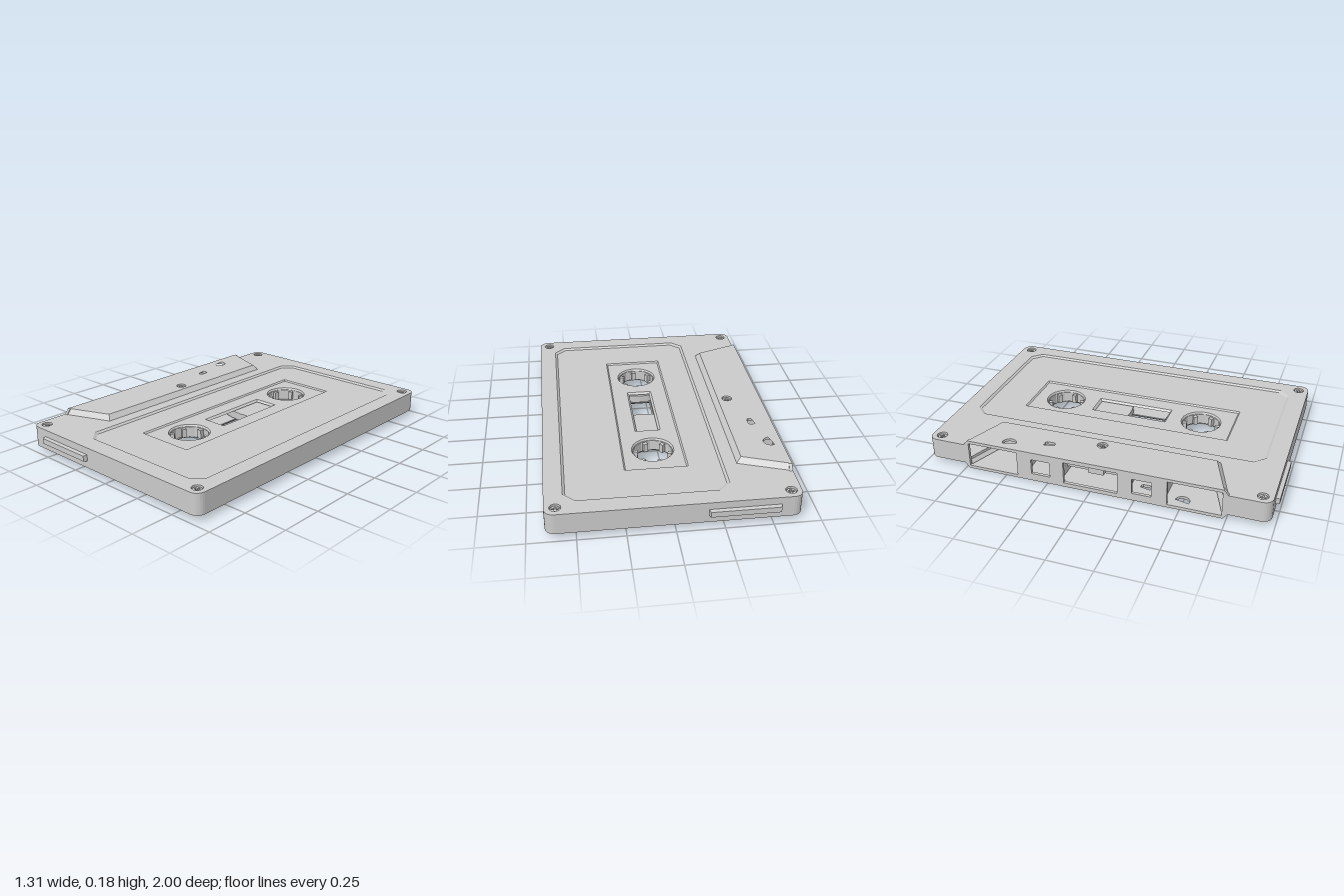
import * as THREE from 'three';

const mat = new THREE.MeshStandardMaterial({ color: 0xcccccc, flatShading: true });
const thin = new THREE.MeshStandardMaterial({ color: 0xcccccc, flatShading: true, side: THREE.DoubleSide });

// Plan-view loops of [x, z] points
const circle = (cx, cz, r, n = 24, a0 = 0) => Array.from({ length: n }, (_, i) => {
  const a = a0 + (i / n) * Math.PI * 2;
  return [cx + r * Math.cos(a), cz + r * Math.sin(a)];
});
const rect = (x0, x1, z, c = 0) => c
  ? [[x0 + c, -z], [x1 - c, -z], [x1, -z + c], [x1, z - c], [x1 - c, z], [x0 + c, z], [x0, z - c], [x0, -z + c]]
  : [[x0, -z], [x1, -z], [x1, z], [x0, z]];
const moved = (loop, dx, dz) => loop.map(([x, z]) => [x + dx, z + dz]);

// Four rounded corners, from back right round to front right
function roundedCorners(hx, hz, r) {
  const pts = [];
  [[-1, -1, 180], [1, -1, 270], [1, 1, 0], [-1, 1, 90]].forEach(([sx, sz, start]) => {
    for (let i = 0; i <= 6; i++) {
      const a = THREE.MathUtils.degToRad(start + i * 15);
      pts.push([sx * (hx - r) + r * Math.cos(a), sz * (hz - r) + r * Math.sin(a)]);
    }
  });
  return pts;
}

const toShape = (loop, holes = []) => {
  const s = new THREE.Shape(loop.map(p => new THREE.Vector2(...p)));
  s.holes = holes.map(h => new THREE.Path(h.map(p => new THREE.Vector2(...p))));
  return s;
};

function add(parent, name, geo, material = mat) {
  const m = new THREE.Mesh(geo, material);
  m.name = name;
  parent.add(m);
  return m;
}

// Flat plate between two heights
function slab(loop, holes, y0, y1) {
  const g = new THREE.ExtrudeGeometry(toShape(loop, holes), { depth: y1 - y0, bevelEnabled: false });
  return g.rotateX(Math.PI / 2).translate(0, y1, 0);
}

// Sloped band joining two loops with equal point counts
function band(a, ya, b, yb, closed = true) {
  const pos = [];
  for (let i = 0; i < a.length - (closed ? 0 : 1); i++) {
    const j = (i + 1) % a.length;
    const A = [a[i][0], ya, a[i][1]], B = [a[j][0], ya, a[j][1]];
    const C = [b[j][0], yb, b[j][1]], D = [b[i][0], yb, b[i][1]];
    pos.push(...A, ...B, ...C, ...A, ...C, ...D);
  }
  const g = new THREE.BufferGeometry();
  g.setAttribute('position', new THREE.Float32BufferAttribute(pos, 3));
  g.computeVertexNormals();
  return g;
}

// Recessed screw with a cross slot
function screw(parent, x, z, top) {
  const a = 0.005, b = 0.017;
  const cross = [[-a, -b], [a, -b], [a, -a], [b, -a], [b, a], [a, a], [a, b], [-a, b], [-a, a], [-b, a], [-b, -a], [-a, -a]];
  const g = new THREE.Group();
  g.name = 'screw';
  add(g, 'screwHead', slab(circle(0, 0, 0.025, 16), [cross], top - 0.022, top - 0.008));
  add(g, 'screwShank', slab(circle(0, 0, 0.03, 16), [], top - 0.045, top - 0.02));
  g.position.set(x, 0, z);
  parent.add(g);
}

const H = 0.059, BUMP = 0.089, HUB_X = 0.05, HUB_Z = 0.43;

// One half of the shell, measured up from the middle plane
function shellHalf(name) {
  const g = new THREE.Group();
  g.name = name;
  const outer = roundedCorners(0.655, 0.978, 0.05);
  const inner = roundedCorners(0.63, 0.953, 0.025);

  // Side wall, left open along the tape edge
  add(g, 'sideWall', slab([[-0.655, -0.755], ...outer, [-0.655, 0.755], [-0.63, 0.755],
    ...inner.reverse(), [-0.63, -0.755]], [], 0, H - 0.001));

  // Outer face with a cut-out for the raised head section
  const corners = [[-0.6, -0.92], [0.597, -0.92], [0.597, 0.92], [-0.6, 0.92]];
  const label = rect(-0.303, 0.558, 0.875, 0.06), labelIn = rect(-0.29, 0.545, 0.862, 0.055);
  add(g, 'outerFace', slab([[-0.655, -0.755], ...outer, [-0.655, 0.755], [-0.375, 0.65], [-0.375, -0.65]],
    [label, ...corners.map(([x, z]) => circle(x, z, 0.03, 16))], 0.043, H));
  corners.forEach(([x, z]) => screw(g, x, z, H));

  // Recessed label area, centre panel, window and hub openings
  const panel = rect(-0.118, 0.226, 0.626), panelIn = rect(-0.11, 0.218, 0.618);
  const windowOut = rect(-0.02, 0.127, 0.23), windowIn = rect(-0.008, 0.115, 0.218);
  add(g, 'labelBevel', band(label, H, labelIn, 0.049), thin);
  add(g, 'labelArea', slab(label, [panel], 0.033, 0.049));
  add(g, 'panelBevel', band(panel, 0.049, panelIn, 0.041), thin);
  const hubHoles = [-1, 1].map(s => circle(HUB_X, s * HUB_Z, 0.118));
  add(g, 'centrePanel', slab(panel, [windowOut, ...hubHoles], 0.031, 0.041));
  add(g, 'windowBevel', band(windowOut, 0.041, windowIn, 0.029), thin);
  [-1, 1].forEach((s, i) =>
    add(g, 'hubOpeningBevel', band(hubHoles[i], 0.041, circle(HUB_X, s * HUB_Z, 0.112), 0.03), thin));

  // Raised head section with guide holes
  const base = [[-0.655, -0.755], [-0.375, -0.65], [-0.375, 0.65], [-0.655, 0.755]];
  const top = [[-0.655, -0.73], [-0.4, -0.632], [-0.4, 0.632], [-0.655, 0.73]];
  const holes = [circle(-0.455, 0, 0.03, 16)];
  for (const s of [-1, 1]) {
    holes.push(circle(-0.595, s * 0.5, 0.04));
    holes.push(moved(rect(-0.03, 0.03, 0.03, 0.009), -0.548, s * 0.28));
  }
  add(g, 'headSlope', band(base, H, top, BUMP, false), thin);
  add(g, 'headSkirt', band(base, 0.043, base, H, false), thin);
  add(g, 'headPlate', slab(top, holes, BUMP - 0.016, BUMP));
  screw(g, -0.455, 0, BUMP);
  return g;
}

// Toothed hub with its roll of tape
function reel(z, rollRadius, turn) {
  const g = new THREE.Group();
  g.name = 'reel';
  add(g, 'hubRing', slab(circle(0, 0, 0.135), [circle(0, 0, 0.11, 12)], -0.03, 0.03));
  add(g, 'tapeRoll', slab(circle(0, 0, rollRadius, 56), [circle(0, 0, 0.13)], -0.022, 0.022));
  for (let i = 0; i < 6; i++) {
    const a = turn + i * Math.PI / 3;
    const tooth = add(g, 'hubTooth', new THREE.BoxGeometry(0.028, 0.05, 0.024));
    tooth.position.set(0.098 * Math.cos(a), 0, 0.098 * Math.sin(a));
    tooth.rotation.y = -a;
  }
  g.position.set(HUB_X, 0, z);
  return g;
}

export function createModel() {
  const model = new THREE.Group();
  model.name = 'cassette';
  const body = new THREE.Group();
  body.name = 'body';
  body.position.y = BUMP;
  model.add(body);

  // Two matching shell halves
  body.add(shellHalf('upperShell'));
  const lower = shellHalf('lowerShell');
  lower.rotation.x = Math.PI;
  body.add(lower);

  // Tape edge wall with five openings, drawn in z and y
  const opening = (z0, z1, y) => [[z0, -y], [z1, -y], [z1, y], [z0, y]];
  const edge = [[-0.755, -H], [-0.73, -BUMP], [0.73, -BUMP], [0.755, -H], [0.755, H], [0.73, BUMP], [-0.73, BUMP], [-0.755, H]];
  const edgeGeo = new THREE.ExtrudeGeometry(toShape(edge, [
    opening(-0.725, -0.43, 0.071), opening(-0.345, -0.235, 0.045), opening(-0.155, 0.155, 0.065),
    opening(0.235, 0.345, 0.045), opening(0.43, 0.725, 0.071)]), { depth: 0.018, bevelEnabled: false });
  add(body, 'tapeEdgeWall', edgeGeo.rotateY(-Math.PI / 2).translate(-0.637, 0, 0));

  // Inner dividers, back wall and pressure pad
  for (const s of [-1, 1]) {
    for (const z of [0.4, 0.19]) {
      add(body, 'divider', new THREE.BoxGeometry(0.22, 0.146, 0.015)).position.set(-0.528, 0, s * z);
    }
  }
  add(body, 'innerWall', new THREE.BoxGeometry(0.012, 0.146, 1.26)).position.set(-0.412, 0, 0);
  add(body, 'padSpring', new THREE.BoxGeometry(0.008, 0.07, 0.36)).position.set(-0.53, 0, 0);
  add(body, 'pressurePad', new THREE.BoxGeometry(0.035, 0.06, 0.09)).position.set(-0.55, 0, 0);

  // Full and nearly empty reels
  body.add(reel(-HUB_Z, 0.42, -1.9));
  body.add(reel(HUB_Z, 0.218, -1.65));

  // Tapered grip bars on both ends
  for (const s of [-1, 1]) {
    const geo = new THREE.BoxGeometry(0.375, 0.038, 0.026);
    const p = geo.attributes.position;
    for (let i = 0; i < p.count; i++) {
      if (p.getZ(i) * s > 0) p.setXY(i, p.getX(i) * 0.965, p.getY(i) * 0.82);
    }
    geo.computeVertexNormals();
    add(body, 'gripBar', geo).position.set(-0.354, 0, s * 0.987);
  }
  return model;
}
